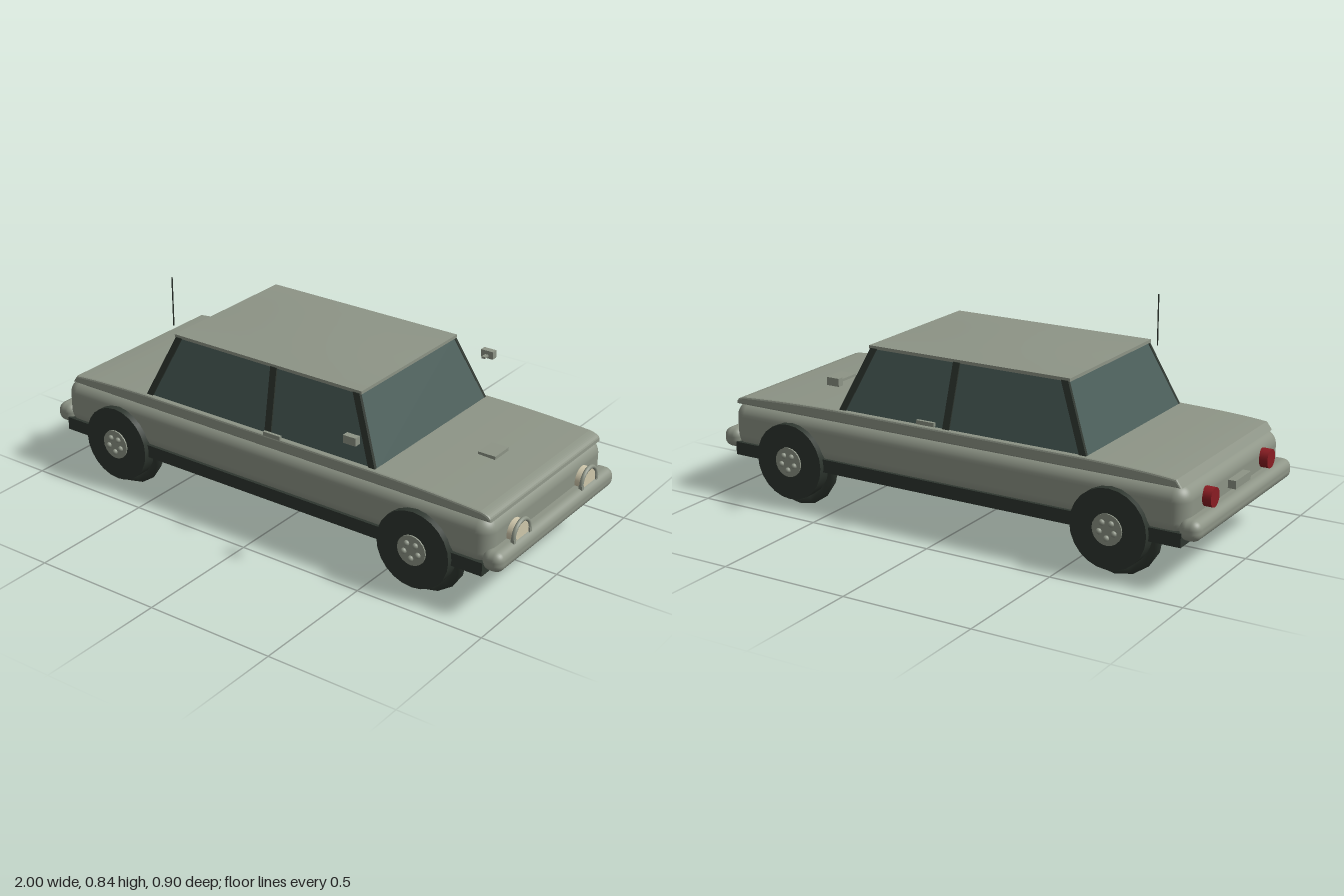
import * as THREE from 'three';
import { RoundedBoxGeometry } from 'three/addons/geometries/RoundedBoxGeometry.js';

const mat = (name, color, side = THREE.FrontSide) => {
  const m = new THREE.MeshStandardMaterial({ color, side });
  m.name = name;
  return m;
};

export function createModel() {
  const car = new THREE.Group();
  car.name = 'car';
  const paint = mat('grey green paint', 0x8d9486);
  const dark = mat('dark rubber', 0x2e362f);
  const glass = mat('tinted glass', 0x4a5d59);
  const cream = mat('cream lens', 0xd0c8ac);
  const red = mat('red lens', 0x8a1c22);
  const floorGrey = mat('floor grey', 0x8a887e);

  const add = (name, geo, material, x = 0, y = 0, z = 0, parent = car) => {
    const m = new THREE.Mesh(geo, material);
    m.name = name;
    m.position.set(x, y, z);
    parent.add(m);
    return m;
  };
  const box = (w, h, d) => new THREE.BoxGeometry(w, h, d);
  // moves every vertex of a geometry by a rule
  const reshape = (geo, rule) => {
    const p = geo.attributes.position;
    const v = new THREE.Vector3();
    for (let i = 0; i < p.count; i++) {
      v.fromBufferAttribute(p, i);
      rule(v);
      p.setXYZ(i, v.x, v.y, v.z);
    }
    geo.computeVertexNormals();
    return geo;
  };

  // lower body, sill and floor
  add('body', new RoundedBoxGeometry(1.9, 0.18, 0.79, 5, 0.055), paint, 0, 0.273, 0);
  add('sill', box(1.87, 0.05, 0.8), dark, -0.003, 0.185, 0);
  add('floor', box(1.84, 0.004, 0.78), floorGrey, -0.003, 0.159, 0);

  // bonnet and boot deck, one bevelled side profile
  const deck = new THREE.Shape();
  deck.moveTo(-0.915, 0.36);
  deck.lineTo(0.935, 0.36);
  deck.quadraticCurveTo(0.935, 0.372, 0.9, 0.378);
  deck.quadraticCurveTo(0.7, 0.392, 0.48, 0.394);
  deck.lineTo(-0.56, 0.394);
  deck.quadraticCurveTo(-0.8, 0.39, -0.9, 0.378);
  deck.closePath();
  const deckGeo = new THREE.ExtrudeGeometry(deck, {
    depth: 0.738, bevelEnabled: true, bevelSize: 0.007, bevelThickness: 0.007, bevelSegments: 2, curveSegments: 8,
  });
  add('deck', deckGeo, paint, 0, 0, -0.369);
  add('bonnetVent', box(0.07, 0.014, 0.09), paint, 0.723, 0.399, 0);

  // bumpers
  for (const s of [1, -1]) {
    add(s > 0 ? 'frontBumper' : 'rearBumper', new RoundedBoxGeometry(0.08, 0.075, 0.8, 4, 0.032), paint, s * 0.96, 0.218, 0);
  }

  // tapered glass cabin
  const y0 = 0.39, y1 = 0.637, h = y1 - y0;
  const zb = 0.358, zt = 0.3;
  const cabin = reshape(box(1, h, 1), (v) => {
    const top = v.y > 0;
    v.x = v.x > 0 ? (top ? 0.362 : 0.476) : (top ? -0.452 : -0.564);
    v.z = Math.sign(v.z) * (top ? zt : zb);
  });
  add('windows', cabin, glass, 0, (y0 + y1) / 2, 0);

  // slightly domed roof
  const roof = reshape(new THREE.BoxGeometry(0.834, 0.012, 0.606, 8, 1, 8), (v) => {
    if (v.y > 0) v.y += 0.011 * (1 - (v.x / 0.417) ** 2) * (1 - (v.z / 0.303) ** 2);
  });
  add('roof', roof, paint, -0.045, 0.64, 0);

  // leaning pillars: [name, bottom x, top x, width]
  const pillars = [['frontPillar', 0.462, 0.351, 0.028], ['middlePillar', 0.008, -0.005, 0.028], ['rearPillar', -0.55, -0.441, 0.028]];
  for (const s of [1, -1]) {
    for (const [name, xb, xt, w] of pillars) {
      const geo = reshape(box(w, h, 0.012), (v) => {
        const top = v.y > 0;
        v.x += top ? xt : xb;
        v.z += s * (top ? zt : zb);
      });
      add(name, geo, dark, 0, (y0 + y1) / 2, 0);
    }

    // side mirror and door handle
    add('mirror', box(0.052, 0.03, 0.025), paint, 0.428, 0.536, s * 0.44);
    add('mirrorArm', box(0.014, 0.008, 0.028), paint, 0.428, 0.532, s * 0.416);
    add('doorHandle', box(0.073, 0.015, 0.012), paint, 0.062, 0.428, s * 0.404);

    // headlight with its half ring hood
    const lens = new THREE.CylinderGeometry(0.047, 0.047, 0.04, 28).rotateZ(Math.PI / 2);
    add('headlight', lens, cream, 0.962, 0.266, s * 0.232);
    const ring = new THREE.TorusGeometry(0.052, 0.008, 8, 24, Math.PI).rotateY(Math.PI / 2);
    add('headlightHood', ring, paint, 0.98, 0.264, s * 0.232);
    for (const e of [1, -1]) {
      add('hoodEnd', box(0.014, 0.018, 0.014), paint, 0.98, 0.257, s * 0.232 + e * 0.052);
    }

    // tail light
    const tail = new THREE.CylinderGeometry(0.035, 0.035, 0.05, 20).rotateZ(Math.PI / 2);
    add('tailLight', tail, red, -0.957, 0.295, s * 0.235);
  }
  add('rearPlate', box(0.04, 0.03, 0.125), paint, -0.96, 0.285, 0);

  // wheels: tyre, tread ring, hub and five nuts
  for (const x of [-0.675, 0.667]) {
    for (const s of [1, -1]) {
      const wheel = new THREE.Group();
      wheel.name = 'wheel';
      wheel.position.set(x, 0.18, s * 0.357);
      car.add(wheel);
      add('tyre', new THREE.CylinderGeometry(0.146, 0.146, 0.125, 24).rotateX(Math.PI / 2), dark, 0, 0, 0, wheel);
      add('treadRing', new THREE.TorusGeometry(0.161, 0.02, 6, 16), dark, 0, 0, 0, wheel);
      add('hub', new THREE.CylinderGeometry(0.057, 0.057, 0.136, 20).rotateX(Math.PI / 2), paint, 0, 0, 0, wheel);
      for (let i = 0; i < 5; i++) {
        const a = -Math.PI / 2 + (i * Math.PI * 2) / 5;
        add('wheelNut', new THREE.SphereGeometry(0.011, 10, 8), paint, 0.03 * Math.cos(a), 0.03 * Math.sin(a), s * 0.069, wheel);
      }
    }
  }

  // aerial
  add('aerial', new THREE.CylinderGeometry(0.0025, 0.0025, 0.19, 8), dark, -0.52, 0.74, 0.24);
  return car;
}
